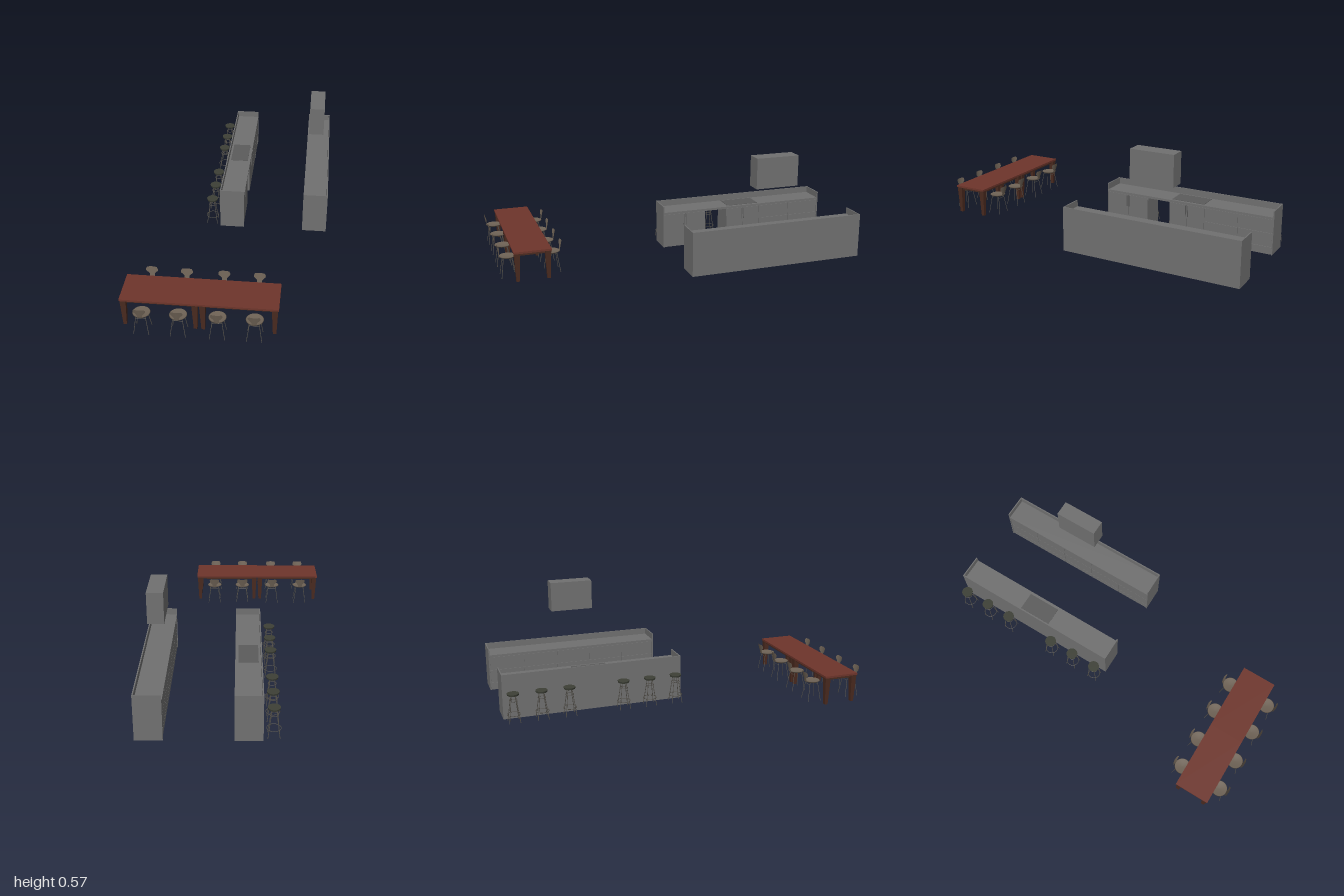
import * as THREE from 'three';

const mat = (color, side = THREE.FrontSide) => new THREE.MeshStandardMaterial({ color, side });
const grey = mat(0x707070), greyThin = mat(0x707070, THREE.DoubleSide), dark = mat(0x5c5c5c);
const wood = mat(0x6e352b), legWood = mat(0x4a2a1f);
const shell = mat(0x6e6255, THREE.DoubleSide), wire = mat(0x55524c), cushion = mat(0x3d4036);
const TURN = 0.642; // shared rotation of the whole arrangement

function add(parent, name, geometry, material, x = 0, y = 0, z = 0) {
  const mesh = new THREE.Mesh(geometry, material);
  mesh.name = name;
  mesh.position.set(x, y, z);
  parent.add(mesh);
  return mesh;
}

// Box given by its limits on each axis
function block(parent, name, material, x0, x1, y0, y1, z0, z1) {
  return add(parent, name, new THREE.BoxGeometry(x1 - x0, y1 - y0, z1 - z0), material,
    (x0 + x1) / 2, (y0 + y1) / 2, (z0 + z1) / 2);
}

// Thin round bar between two points
function rod(parent, name, material, a, b, r = 0.0016) {
  const p = new THREE.Vector3(...a), q = new THREE.Vector3(...b);
  const mesh = add(parent, name, new THREE.CylinderGeometry(r, r, p.distanceTo(q), 6), material);
  mesh.position.copy(p).add(q).multiplyScalar(0.5);
  mesh.quaternion.setFromUnitVectors(new THREE.Vector3(0, 1, 0), q.sub(p).normalize());
}

function placed(parent, name, x, z, turn) {
  const g = new THREE.Group();
  g.name = name;
  g.position.set(x, 0, z);
  g.rotation.y = turn;
  parent.add(g);
  return g;
}

const L = 0.466, D = 0.065, H = 0.23, TOP = 0.197;

// Counter with a sunken worktop, raised end panels and a raised outer panel at -z
function counter(g, bays) {
  for (const s of [-1, 1]) {
    block(g, 'endPanel', grey, s * L - (s > 0 ? 0.006 : 0), s * L + (s < 0 ? 0.006 : 0), 0, H, -D, D);
  }
  block(g, 'raisedLip', grey, -L + 0.006, L - 0.006, TOP, H, -D, -D + 0.006);
  add(g, 'outerPanel', new THREE.PlaneGeometry(2 * L - 0.012, TOP), grey, 0, TOP / 2, -D).rotation.y = Math.PI;
  block(g, 'worktop', grey, -L + 0.006, L - 0.006, TOP - 0.012, TOP, -D + 0.001, D);
  for (const bay of bays) {
    block(g, 'cabinet', grey, bay.from, bay.to, 0, TOP - 0.012, -D + 0.002, D - 0.007);
    const w = (bay.to - bay.from) / bay.columns;
    for (let i = 0; i < bay.columns; i++) {
      const x0 = bay.from + i * w + 0.001, x1 = x0 + w - 0.002;
      bay.rows.slice(1).forEach((y1, j) => {
        block(g, 'cabinetFront', grey, x0, x1, bay.rows[j] + 0.001, y1 - 0.001, D - 0.007, D - 0.003);
      });
      if (bay.handles) {
        const hx = i % 2 ? x0 + 0.005 : x1 - 0.005;
        block(g, 'doorHandle', dark, hx - 0.0015, hx + 0.0015, 0.12, 0.18, D - 0.003, D);
      }
    }
  }
}

// Tapered square leg
function tableLeg(parent, x, z) {
  const geometry = new THREE.CylinderGeometry(0.0205, 0.0115, 0.146, 4, 1).rotateY(Math.PI / 4).toNonIndexed();
  geometry.computeVertexNormals();
  add(parent, 'tableLeg', geometry, legWood, x, 0.073, z);
}

function table(parent, z) {
  const g = new THREE.Group();
  g.name = 'table';
  g.position.z = z;
  parent.add(g);
  const hx = 0.093, hz = 0.185;
  block(g, 'tableTop', wood, -hx, hx, 0.146, 0.156, -hz, hz);
  for (const s of [-1, 1]) {
    block(g, 'sideApron', legWood, s * 0.078 - 0.003, s * 0.078 + 0.003, 0.132, 0.146, -0.165, 0.165);
    block(g, 'endApron', legWood, -0.075, 0.075, 0.132, 0.146, s * 0.168 - 0.003, s * 0.168 + 0.003);
    for (const t of [-1, 1]) tableLeg(g, s * 0.076, t * 0.167);
  }
}

// Chair facing -x, with a shallow round seat, a curved backrest and wire legs
function chair(parent, x, z, turn) {
  const g = placed(parent, 'chair', x, z, turn);
  const profile = [[0, 0.096], [0.028, 0.098], [0.042, 0.106], [0.039, 0.108], [0.026, 0.104], [0, 0.103]];
  add(g, 'seat', new THREE.LatheGeometry(profile.map(p => new THREE.Vector2(...p)), 20), shell);
  // Backrest: narrow at the seat, wide at the top, bent round the sitter
  const back = new THREE.PlaneGeometry(2, 1, 12, 6), pos = back.attributes.position;
  for (let i = 0; i < pos.count; i++) {
    const t = pos.getY(i) + 0.5;
    const half = 0.012 + 0.018 * THREE.MathUtils.smoothstep(t, 0.3, 0.75) - 0.006 * Math.max(0, t - 0.8) * 5;
    const w = pos.getX(i) * half;
    pos.setXYZ(i, 0.038 + 0.012 * t - 7 * w * w, 0.102 + 0.056 * t, w);
  }
  back.computeVertexNormals();
  add(g, 'backrest', back, shell);
  for (const s of [-1, 1]) {
    for (const t of [-1, 1]) {
      rod(g, 'chairLeg', wire, [s * 0.022, 0.098, t * 0.022], [s * 0.036, 0, t * 0.036]);
    }
    rod(g, 'legBrace', wire, [s * 0.024, 0.088, -0.024], [s * 0.024, 0.088, 0.024], 0.0012);
  }
}

// Bar stool with a round cushion, splayed legs and a foot ring
function stool(parent, x, z) {
  const g = placed(parent, 'stool', x, z, 0);
  add(g, 'stoolSeat', new THREE.CylinderGeometry(0.03, 0.028, 0.009, 20), cushion, 0, 0.144, 0);
  for (let i = 0; i < 4; i++) {
    const a = Math.PI / 4 + i * Math.PI / 2, c = Math.cos(a), s = Math.sin(a);
    rod(g, 'stoolLeg', wire, [c * 0.014, 0.14, s * 0.014], [c * 0.039, 0, s * 0.039], 0.0018);
  }
  for (const [r, y] of [[0.033, 0.04], [0.02, 0.11]]) {
    add(g, 'footRing', new THREE.TorusGeometry(r, 0.0015, 6, 24).rotateX(Math.PI / 2), wire, 0, y, 0);
  }
}

export function createModel() {
  const model = new THREE.Group();
  model.name = 'kitchenAndDining';

  // Island with an open appliance gap and stools along its outer side
  const island = placed(model, 'island', 0.315, -0.33, TURN);
  counter(island, [
    { from: -L + 0.006, to: -0.224, columns: 2, rows: [0, 0.184], handles: true },
    { from: -0.098, to: 0.098, columns: 2, rows: [0, 0.184], handles: true },
    { from: 0.098, to: L - 0.006, columns: 2, rows: [0, 0.04, 0.112, 0.184] },
  ]);
  block(island, 'sinkInset', dark, -0.088, 0.092, TOP, TOP + 0.002, -0.048, 0.05);
  for (const s of [-1, 1]) {
    for (const x of [0.14, 0.28, 0.42]) stool(island, s * x, -0.112);
  }

  // Wall counter, its fronts turned towards the island
  const wallCounter = placed(model, 'wallCounter', 0.585, 0.03, TURN + Math.PI);
  counter(wallCounter, [
    { from: -L + 0.006, to: L - 0.006, columns: 5, rows: [0, 0.04, 0.112, 0.184] },
  ]);

  // Extractor hood: a box open below
  const hood = placed(model, 'hood', 0.575, 0.02, TURN);
  const hw = 0.113, hd = 0.04, y0 = 0.408, y1 = 0.565;
  block(hood, 'hoodTop', greyThin, -hw, hw, y1 - 0.003, y1, -hd, hd);
  for (const s of [-1, 1]) {
    add(hood, 'hoodFace', new THREE.PlaneGeometry(2 * hw, y1 - y0), greyThin, 0, (y0 + y1) / 2, s * hd)
      .rotation.y = s > 0 ? 0 : Math.PI;
    add(hood, 'hoodEnd', new THREE.PlaneGeometry(2 * hd, y1 - y0), greyThin, s * hw, (y0 + y1) / 2, 0)
      .rotation.y = s * Math.PI / 2;
  }

  // Two tables end to end, with four chairs on each long side
  const dining = placed(model, 'diningSet', -0.695, 0.35, TURN);
  for (const s of [-1, 1]) {
    table(dining, s * 0.185);
    for (const z of [-0.262, -0.091, 0.091, 0.262]) chair(dining, s * 0.111, z, s > 0 ? 0 : Math.PI);
  }
  return model;
}
